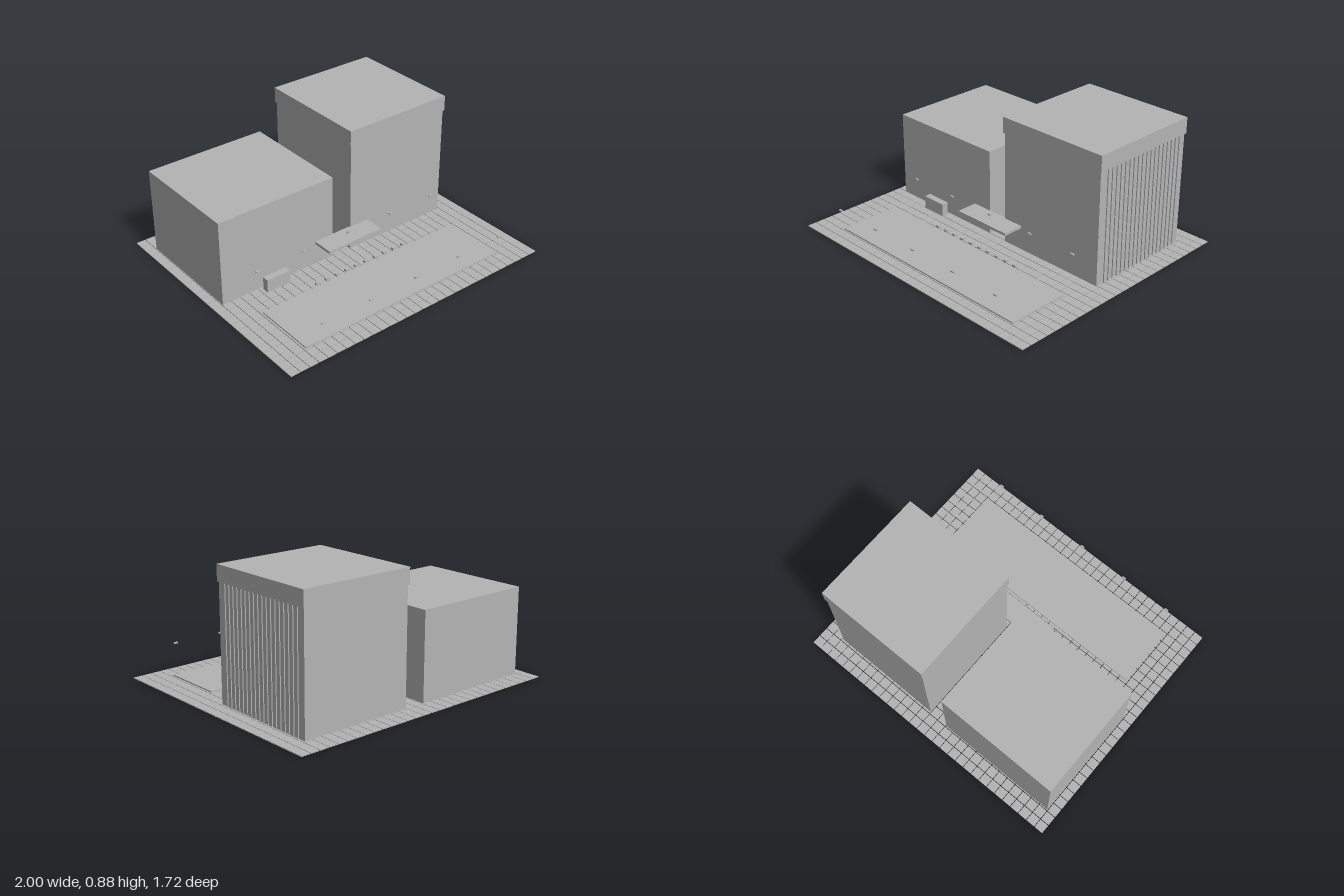
import * as THREE from 'three';

export function createModel() {
  const model = new THREE.Group();
  const grey = new THREE.MeshStandardMaterial({ color: 0xb4b4b4 });
  grey.name = 'concreteGrey';

  // Box given by its minimum and maximum on each axis
  function box(name, x0, x1, y0, y1, z0, z1, parent = model) {
    const mesh = new THREE.Mesh(new THREE.BoxGeometry(x1 - x0, y1 - y0, z1 - z0), grey);
    mesh.position.set((x0 + x1) / 2, (y0 + y1) / 2, (z0 + z1) / 2);
    mesh.name = name;
    parent.add(mesh);
    return mesh;
  }
  function group(name) {
    const g = new THREE.Group();
    g.name = name;
    model.add(g);
    return g;
  }

  // Paving: separate slabs with narrow open joints
  const paving = group('paving');
  const cols = 30, rows = 26, joint = 0.004, depth = 1.716;
  const pitchX = (2 + joint) / cols, pitchZ = (depth + joint) / rows;
  for (let i = 0; i < cols; i++) {
    for (let j = 0; j < rows; j++) {
      const x = -1 + i * pitchX, z = -depth / 2 + j * pitchZ;
      box('pavingSlab', x, x + pitchX - joint, 0, 0.006, z, z + pitchZ - joint, paving);
    }
  }

  // Low block and raised front bed
  box('lowBuilding', -0.93, -0.073, 0.004, 0.595, -0.72, 0.068);
  box('frontBed', -0.787, 0.787, 0.004, 0.015, 0.287, 0.717);

  // Tall block with overhanging cap and side fins
  const tower = group('tower');
  box('towerBody', 0.07, 0.854, 0.004, 0.775, -0.713, 0.073, tower);
  box('towerCap', 0.062, 0.862, 0.773, 0.88, -0.721, 0.08, tower);
  for (let i = 0; i < 18; i++) {
    const z = 0.01 - i * 0.0394;
    box('towerFin', 0.853, 0.861, 0.004, 0.774, z - 0.002, z + 0.002, tower);
  }

  // Entrance canopy and sign block
  box('canopy', -0.215, 0.215, 0.155, 0.173, 0.065, 0.215);
  box('signBlock', -0.642, -0.465, 0.004, 0.097, 0.09, 0.136);

  // Row of small seats along the bed
  const seats = group('seats');
  for (let i = 0; i < 10; i++) {
    const x = -0.357 + i * 0.079;
    box('seat', x - 0.013, x + 0.013, 0.016, 0.032, 0.261, 0.28, seats);
  }

  // Two rows of lamp heads
  const lamps = group('lampHeads');
  for (const z of [0.143, 0.787]) {
    for (let i = -2; i <= 2; i++) {
      const x = i * 0.357;
      box('lampHead', x - 0.013, x + 0.013, 0.196, 0.205, z - 0.006, z + 0.006, lamps);
    }
  }

  return model;
}
